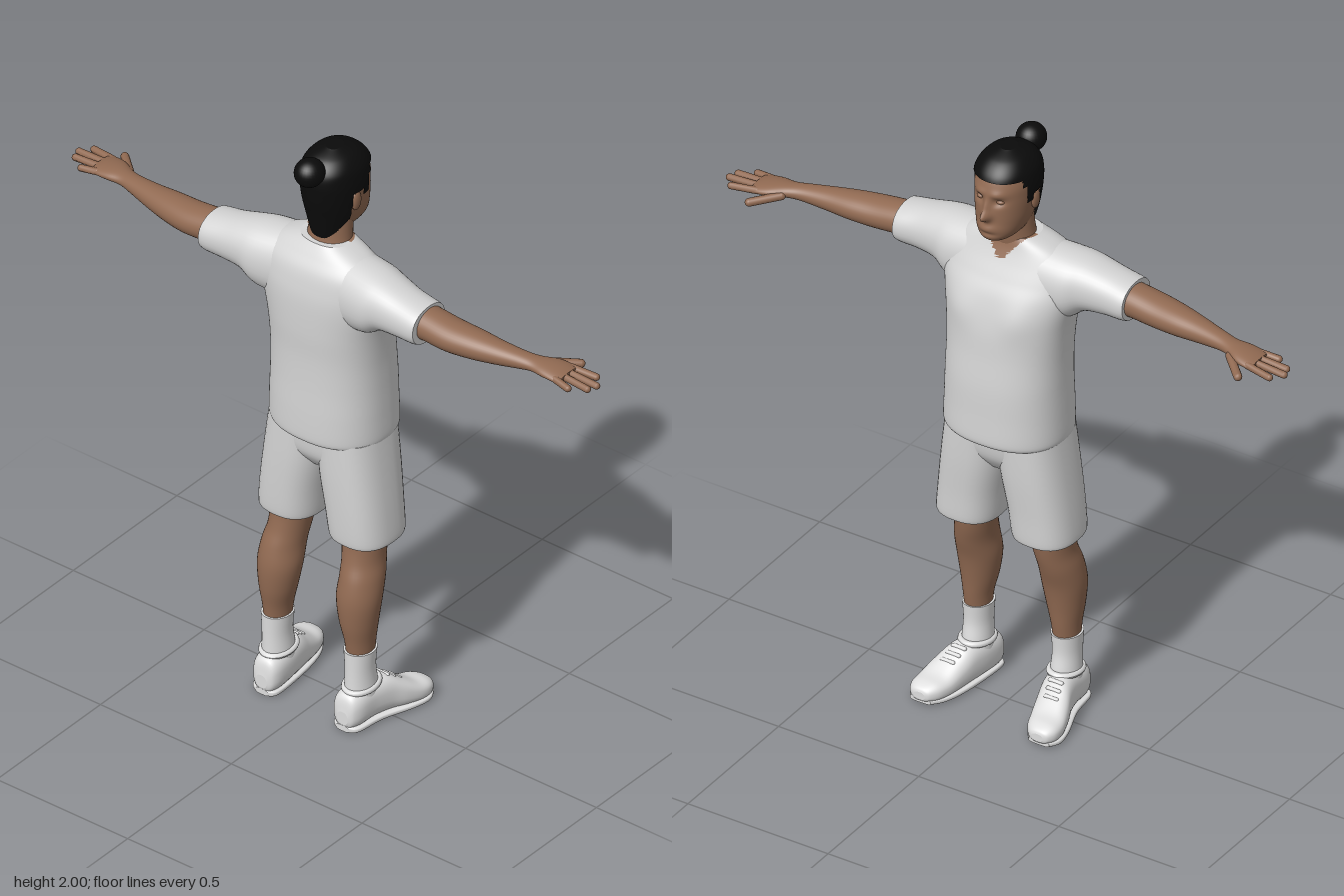
import * as THREE from 'three';

const mat = (name, color) => {
  const m = new THREE.MeshStandardMaterial({ color });
  m.name = name;
  return m;
};

// Lofts cross-sections [t, a0, a1, b0, b1] along an axis, with smooth interpolation.
// Axis y: a = x, b = z.  Axis z: a = x, b = y.  Axis x: a = y, b = z.
function loft(axis, sections, { seg = 40, sub = 5, power = 2, bend = null, pick = null } = {}) {
  const place = {
    y: (t, a, b) => [a, t, b],
    z: (t, a, b) => [a, b, t],
    x: (t, a, b) => [t, a, b],
  }[axis];
  const spline = (a, b, c, d, f) =>
    0.5 * (2 * b + (c - a) * f + (2 * a - 5 * b + 4 * c - d) * f * f + (3 * b - a - 3 * c + d) * f * f * f);
  const last = sections.length - 1, rows = last * sub, pos = [];
  const at = (i) => sections[Math.min(last, Math.max(0, i))];
  const ring = (r) => {
    const i = Math.min(last - 1, Math.floor(r / sub)), f = r / sub - i;
    const [t, a0, a1, b0, b1] = sections[0].map((_, k) => spline(at(i - 1)[k], at(i)[k], at(i + 1)[k], at(i + 2)[k], f));
    for (let j = 0; j < seg; j++) {
      const w = (j / seg) * Math.PI * 2, c = Math.cos(w), s = Math.sin(w);
      const sq = (v) => Math.sign(v) * Math.abs(v) ** (2 / power);
      let p = place(t, (a0 + a1) / 2 + sq(c) * (a1 - a0) / 2, (b0 + b1) / 2 + sq(s) * (b1 - b0) / 2);
      if (bend) p = bend(...p);
      pos.push(...p);
    }
  };
  for (let r = 0; r <= rows; r++) ring(r);
  const faces = [];
  for (let r = 0; r < rows; r++) for (let j = 0; j < seg; j++) {
    const a = r * seg + j, b = r * seg + (j + 1) % seg, c = a + seg, d = b + seg;
    faces.push([a, b, c], [b, d, c]);
  }
  // Flat end caps with their own vertices
  for (const end of [0, rows]) {
    const base = pos.length / 3;
    ring(end);
    const mid = [0, 0, 0];
    for (let j = 0; j < seg; j++) for (let k = 0; k < 3; k++) mid[k] += pos[(base + j) * 3 + k] / seg;
    pos.push(...mid);
    for (let j = 0; j < seg; j++) {
      const e = [base + j, base + (j + 1) % seg, base + seg];
      faces.push(end ? e : [e[1], e[0], e[2]]);
    }
  }
  const lists = [[], []];
  for (const f of faces) {
    const m = [0, 1, 2].map((k) => f.reduce((s, i) => s + pos[i * 3 + k] / 3, 0));
    const id = pick ? pick(...m) : 0;
    // The y axis runs against the ring direction, so its faces are turned round
    if (id >= 0) lists[id].push(...(axis === 'y' ? [f[0], f[2], f[1]] : f));
  }
  const g = new THREE.BufferGeometry();
  g.setAttribute('position', new THREE.Float32BufferAttribute(pos, 3));
  g.setIndex([...lists[0], ...lists[1]]);
  if (lists[1].length) {
    g.addGroup(0, lists[0].length, 0);
    g.addGroup(lists[0].length, lists[1].length, 1);
  }
  // Axis z also needs its own check: make the solid face outwards
  let vol = 0;
  const ix = g.index.array, v = [0, 1, 2].map(() => new THREE.Vector3());
  const centre = new THREE.Box3().setFromBufferAttribute(g.attributes.position).getCenter(new THREE.Vector3());
  for (let i = 0; i < ix.length; i += 3) {
    v.forEach((q, k) => q.fromBufferAttribute(g.attributes.position, ix[i + k]).sub(centre));
    vol += v[0].dot(v[1].clone().cross(v[2]));
  }
  if (vol < 0) flip(g);
  g.computeVertexNormals();
  return g;
}

function flip(g) {
  const ix = g.index.array;
  for (let i = 0; i < ix.length; i += 3) [ix[i], ix[i + 1]] = [ix[i + 1], ix[i]];
}

function mirrored(geometry) {
  const g = geometry.clone().scale(1, 1, -1);
  flip(g);
  g.computeVertexNormals();
  return g;
}

// Rounded rod between two points
function rod(p, q, r) {
  const a = new THREE.Vector3(...p), d = new THREE.Vector3(...q).sub(a), n = d.length();
  return new THREE.CapsuleGeometry(r, n, 6, 12)
    .applyQuaternion(new THREE.Quaternion().setFromUnitVectors(new THREE.Vector3(0, 1, 0), d.clone().normalize()))
    .translate(a.x + d.x / 2, a.y + d.y / 2, a.z + d.z / 2);
}

const ball = (x, y, z, rx, ry, rz) => new THREE.SphereGeometry(1, 28, 18).scale(rx, ry, rz).translate(x, y, z);
const bump = (y, z, cy, cz, sy, sz) => Math.exp(-(((y - cy) / sy) ** 2) - ((z - cz) / sz) ** 2);
const even = (rows) => rows.map(([t, a0, a1, h]) => [t, a0, a1, -h, h]);

export function createModel() {
  const model = new THREE.Group();
  const cloth = mat('white cloth', 0xd4d4d4), skin = mat('skin', 0x916a52);
  const hair = mat('black hair', 0x0b0b0b), shoeWhite = mat('shoe white', 0xdedede);
  hair.side = THREE.DoubleSide;
  const add = (name, geometry, material) => {
    const mesh = new THREE.Mesh(geometry, material);
    mesh.name = name;
    model.add(mesh);
  };
  const pair = (name, geometry, material) => {
    add(name + 'Left', mirrored(geometry), material);
    add(name + 'Right', geometry, material);
  };

  // Shirt body with an open V neck
  add('shirt', loft('y', even([
    [1.0, -0.163, 0.158, 0.196], [1.02, -0.168, 0.165, 0.2], [1.1, -0.168, 0.163, 0.198], [1.2, -0.165, 0.16, 0.195],
    [1.3, -0.165, 0.15, 0.195], [1.4, -0.17, 0.14, 0.203], [1.5, -0.17, 0.115, 0.222], [1.56, -0.163, 0.085, 0.225],
    [1.61, -0.15, 0.058, 0.21], [1.65, -0.125, 0.04, 0.165], [1.685, -0.1, 0.03, 0.085],
  ]), {
    seg: 96, sub: 8, power: 2.35,
    bend: (x, y, z) => [x + (x > 0 ? 0.01 * (bump(y, z, 1.45, 0.1, 0.06, 0.06) + bump(y, z, 1.45, -0.1, 0.06, 0.06)) : 0), y, z],
    pick: (x, y, z) => (x > -0.03 && y > 1.607 + Math.abs(z) * 1.15 ? 1 : 0),
  }), [cloth, skin]);
  pair('sleeve', loft('z', [
    [0.08, -0.14, 0.06, 1.42, 1.665], [0.2, -0.157, 0.052, 1.435, 1.655], [0.26, -0.152, 0.032, 1.472, 1.645],
    [0.33, -0.147, 0.018, 1.48, 1.627], [0.39, -0.146, 0.016, 1.482, 1.614], [0.41, -0.143, 0.013, 1.486, 1.61],
  ], { power: 2.2 }), cloth);

  // Shorts
  add('shortsHip', loft('y', even([
    [0.87, -0.09, 0.07, 0.12], [0.92, -0.125, 0.105, 0.19], [0.98, -0.134, 0.118, 0.198], [1.02, -0.134, 0.118, 0.194],
  ]), { power: 2.4 }), cloth);
  pair('shortsLeg', loft('y', [
    [0.645, -0.12, 0.093, 0.036, 0.232], [0.66, -0.128, 0.1, 0.03, 0.238], [0.75, -0.133, 0.105, 0.018, 0.23],
    [0.88, -0.136, 0.115, -0.004, 0.214], [1.01, -0.135, 0.12, -0.01, 0.196],
  ], { power: 2.5 }), cloth);

  // Arms, hands and fingers
  pair('arm', loft('z', [
    [0.36, -0.125, 0.0, 1.495, 1.605], [0.42, -0.122, 0.0, 1.497, 1.6], [0.5, -0.12, 0.002, 1.493, 1.59],
    [0.58, -0.106, 0.004, 1.495, 1.583], [0.66, -0.085, 0.002, 1.502, 1.574], [0.74, -0.062, 0.006, 1.512, 1.565],
    [0.785, -0.052, 0.018, 1.517, 1.56], [0.83, -0.056, 0.042, 1.517, 1.558], [0.87, -0.055, 0.05, 1.517, 1.552],
    [0.895, -0.05, 0.048, 1.52, 1.545],
  ]), skin);
  [[-0.042, -0.05, 0.93], [-0.014, -0.017, 0.978], [0.012, 0.014, 0.989], [0.038, 0.05, 0.96]].forEach(([x0, x1, z], i) =>
    pair('finger' + (i + 1), rod([x0, 1.534, 0.875], [x1, 1.528, z], 0.0115), skin));
  pair('thumb', rod([0.02, 1.532, 0.8], [0.087, 1.52, 0.872], 0.0135), skin);

  // Legs and socks
  pair('leg', loft('y', [
    [0.24, -0.122, -0.028, 0.118, 0.198], [0.3, -0.13, -0.02, 0.112, 0.202], [0.37, -0.142, -0.012, 0.095, 0.212],
    [0.45, -0.145, 0.002, 0.082, 0.22], [0.52, -0.132, 0.024, 0.084, 0.215], [0.58, -0.112, 0.04, 0.078, 0.204],
    [0.65, -0.102, 0.052, 0.066, 0.205], [0.75, -0.11, 0.07, 0.05, 0.21],
  ]), skin);
  pair('sock', loft('y', [
    [0.08, -0.132, -0.01, 0.108, 0.208], [0.14, -0.13, -0.015, 0.112, 0.204], [0.2, -0.13, -0.024, 0.115, 0.202],
    [0.265, -0.132, -0.02, 0.11, 0.206],
  ]), shoeWhite);

  // Shoes, toes turned outwards
  pair('shoe', loft('x', [
    [-0.16, 0.025, 0.07, 0.135, 0.175], [-0.15, 0.01, 0.115, 0.115, 0.193], [-0.12, 0.006, 0.132, 0.105, 0.206],
    [-0.06, 0.008, 0.14, 0.107, 0.212], [0.0, 0.006, 0.138, 0.116, 0.226], [0.05, 0.003, 0.108, 0.127, 0.246],
    [0.1, 0.002, 0.078, 0.14, 0.26], [0.14, 0.004, 0.068, 0.155, 0.26], [0.165, 0.012, 0.056, 0.175, 0.246],
    [0.172, 0.02, 0.045, 0.19, 0.23],
  ], { power: 2.5 }), shoeWhite);
  pair('shoeSole', loft('x', [
    [-0.158, 0, 0.02, 0.13, 0.178], [-0.135, 0, 0.022, 0.108, 0.204], [-0.04, 0, 0.022, 0.112, 0.218],
    [0.06, 0, 0.022, 0.126, 0.254], [0.125, 0, 0.022, 0.147, 0.266], [0.165, 0.004, 0.022, 0.175, 0.248],
  ], { power: 3.5 }), shoeWhite);
  pair('shoeCollar', new THREE.TorusGeometry(0.052, 0.01, 10, 32).rotateX(Math.PI / 2)
    .scale(1.15, 1, 0.9).rotateZ(0.08).translate(-0.07, 0.132, 0.158), shoeWhite);
  [0, 1, 2].forEach((i) => pair('lace' + (i + 1),
    rod([0.01 + i * 0.022, 0.13 - i * 0.015, 0.153 + i * 0.006], [0.01 + i * 0.022, 0.13 - i * 0.015, 0.193 + i * 0.006], 0.007), shoeWhite));

  // Neck and head
  add('neck', loft('y', even([
    [1.58, -0.11, 0.02, 0.085], [1.65, -0.095, 0.035, 0.078], [1.7, -0.082, 0.042, 0.071], [1.78, -0.075, 0.05, 0.068],
  ])), skin);
  const skull = even([
    [1.702, -0.04, 0.085, 0.028], [1.715, -0.06, 0.115, 0.05], [1.74, -0.076, 0.128, 0.068], [1.78, -0.09, 0.125, 0.081],
    [1.82, -0.1, 0.124, 0.087], [1.86, -0.105, 0.122, 0.09], [1.9, -0.107, 0.118, 0.09], [1.94, -0.098, 0.1, 0.08],
    [1.968, -0.07, 0.07, 0.058], [1.982, -0.03, 0.03, 0.025],
  ]);
  add('head', loft('y', skull, {
    seg: 96, sub: 8, power: 2.15,
    bend: (x, y, z) => {
      if (x < 0.04) return [x, y, z];
      const s = Math.abs(z);
      return [x + 0.03 * bump(y, z, 1.807, 0, 0.017, 0.015) + 0.014 * bump(y, z, 1.835, 0, 0.03, 0.011)
        + 0.007 * bump(y, z, 1.762, 0, 0.014, 0.03) - 0.006 * bump(y, z, 1.742, 0, 0.008, 0.03)
        + 0.006 * bump(y, s, 1.882, 0.03, 0.012, 0.025) - 0.012 * bump(y, s, 1.855, 0.034, 0.013, 0.018), y, z];
    },
  }), skin);
  pair('eyelid', ball(0.101, 1.855, 0.034, 0.011, 0.008, 0.014), skin);
  pair('ear', ball(-0.008, 1.828, 0.089, 0.02, 0.034, 0.01), skin);

  // Hair cap, cut along the hairline, and the bun
  const hairline = (x) => (x > 0.06 ? 1.925 : x > 0.045 ? 1.9 : x > 0.018 ? 1.84 : x > -0.028 ? 1.862 : 1.725 + (x + 0.06) * 1.4);
  add('hair', loft('y', even([
    [1.69, -0.08, 0.0, 0.05], [1.72, -0.088, 0.08, 0.066], [1.78, -0.099, 0.125, 0.088], [1.82, -0.108, 0.13, 0.094],
    [1.86, -0.113, 0.13, 0.098], [1.9, -0.115, 0.127, 0.098], [1.94, -0.106, 0.112, 0.09], [1.972, -0.076, 0.078, 0.064],
    [1.991, -0.03, 0.03, 0.024],
  ]), { seg: 128, sub: 12, power: 2.15, pick: (x, y) => (y > hairline(x) ? 0 : -1) }), hair);
  add('hairBun', ball(-0.122, 1.954, 0, 0.049, 0.046, 0.047), hair);
  return model;
}
